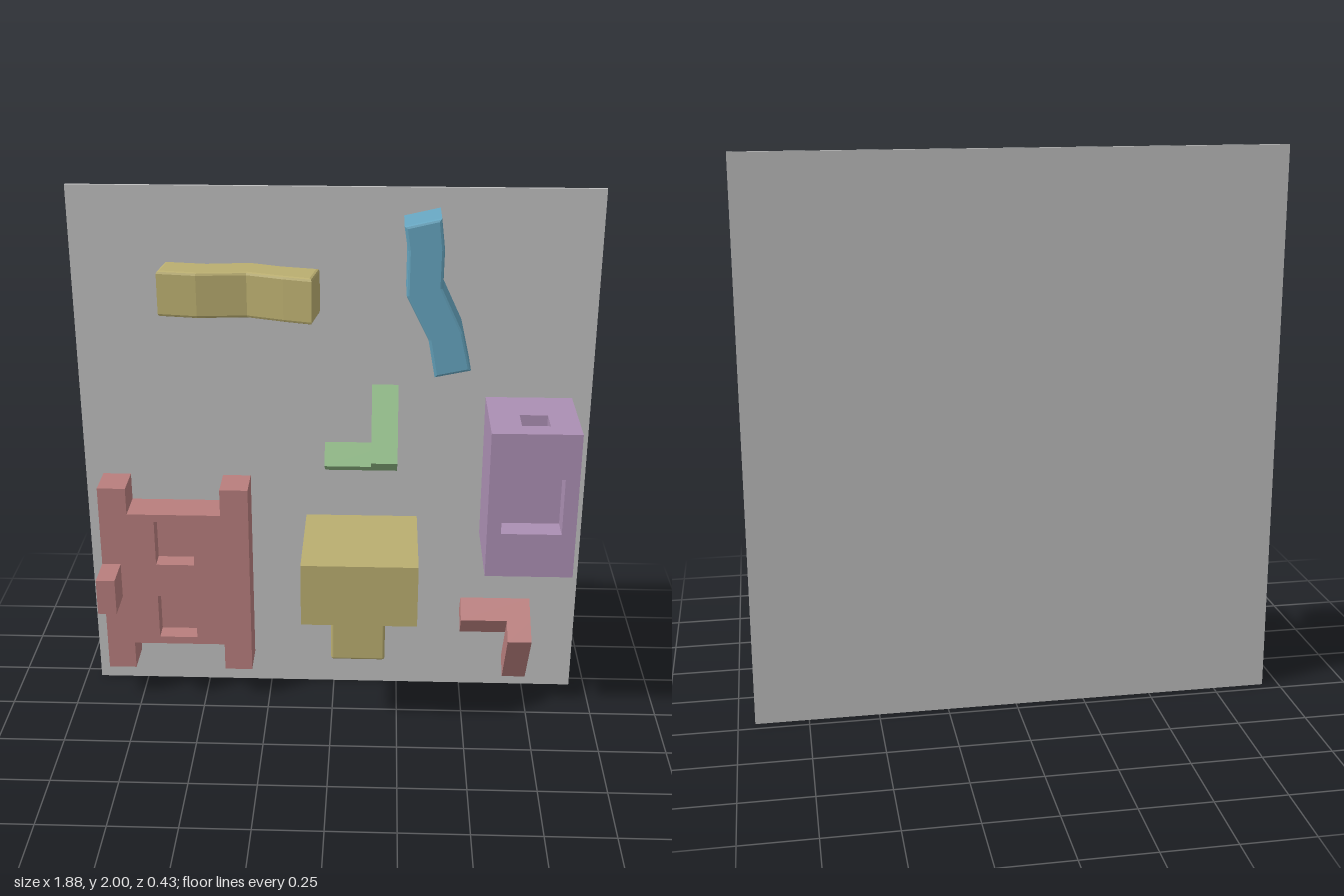
import * as THREE from 'three';
import { RoundedBoxGeometry } from 'three/addons/geometries/RoundedBoxGeometry.js';

const BACK = -0.203; // front surface of the panel

function material(name, color) {
  const m = new THREE.MeshStandardMaterial({ color });
  m.name = name;
  return m;
}

function mesh(name, geometry, mat) {
  const m = new THREE.Mesh(geometry, mat);
  m.name = name;
  return m;
}

// Box given by its limits on each axis
function block(name, mat, [x0, x1], [y0, y1], [z0, z1], radius = 0) {
  const size = [x1 - x0, y1 - y0, z1 - z0];
  const g = radius ? new RoundedBoxGeometry(...size, 2, radius) : new THREE.BoxGeometry(...size);
  g.translate((x0 + x1) / 2, (y0 + y1) / 2, (z0 + z1) / 2);
  return mesh(name, g, mat);
}

const toPoints = (list) => list.map(([x, y]) => new THREE.Vector2(x, y));
const rect = (x0, x1, y0, y1) => [[x0, y0], [x1, y0], [x1, y1], [x0, y1]];

// Outline with optional holes, extruded along z from z0 to z1
function slab(outline, holes, z0, z1, bevel = 0) {
  const shape = new THREE.Shape(toPoints(outline));
  holes.forEach((h) => shape.holes.push(new THREE.Path(toPoints(h))));
  const g = new THREE.ExtrudeGeometry(shape, {
    depth: z1 - z0 - 2 * bevel,
    bevelEnabled: bevel > 0,
    bevelSize: bevel, bevelThickness: bevel, bevelOffset: -bevel, bevelSegments: 2,
  });
  return g.translate(0, 0, z0 + bevel);
}

// The same, lying flat: outline is (x, -z), extruded upward from y0 to y1
const flatSlab = (outline, holes, y0, y1, bevel) =>
  slab(outline, holes, y0, y1, bevel).rotateX(-Math.PI / 2);

// Notched wall plate with two pockets and a peg
function notchedPlate(mat) {
  const g = new THREE.Group();
  g.name = 'notchedPlate';
  const outline = [
    [-0.875, 0.13], [-0.77, 0.13], [-0.77, 0.24], [-0.42, 0.24], [-0.42, 0.13], [-0.315, 0.13],
    [-0.315, 0.9], [-0.42, 0.9], [-0.42, 0.795], [-0.77, 0.795], [-0.77, 0.9], [-0.875, 0.9],
  ];
  const pockets = [rect(-0.67, -0.525, 0.585, 0.765), rect(-0.67, -0.525, 0.27, 0.45)];
  g.add(mesh('plateBack', slab(outline, [], BACK, -0.135), mat));
  g.add(mesh('plateFront', slab(outline, pockets, -0.135, -0.065), mat));
  g.add(block('peg', mat, [-0.875, -0.805], [0.445, 0.585], [-0.065, 0.07]));
  return g;
}

// Block with square pockets in its front, top and bottom
function pocketBlock(mat) {
  const g = new THREE.Group();
  g.name = 'pocketBlock';
  const x = [0.555, 0.87], zFront = 0.145, depth = 0.09, y0 = 0.675, y1 = 1.23;
  const low = y0 + depth, high = y1 - depth;
  const plan = rect(...x, -zFront, -BACK);
  const planHole = rect(0.665, 0.765, -0.07, 0.03);
  g.add(mesh('blockTop', flatSlab(plan, [planHole], high, y1), mat));
  g.add(mesh('blockBottom', flatSlab(plan, [planHole], y0, low), mat));
  g.add(block('blockCore', mat, x, [low, high], [BACK, zFront - depth]));
  g.add(mesh('blockFront',
    slab(rect(...x, low, high), [rect(0.605, 0.82, 0.845, 1.06)], zFront - depth, zFront), mat));
  return g;
}

// Tilted bracket: a long leg, a heel behind its end and an arm to the side.
// up = 1 points the leg up, up = -1 points it down.
function bracket(name, mat, armX, legX, cornerY, up) {
  const g = new THREE.Group();
  g.name = name;
  const t = 0.09, len = 0.288, reach = 0.19;
  const ys = (a, b) => (up > 0 ? [a, b] : [-b, -a]);
  g.add(block('leg', mat, legX, ys(0, len), [-t, 0]));
  g.add(block('arm', mat, armX, ys(0, t), [-reach, -t]));
  g.position.set(0, cornerY, 0.02);
  g.rotation.x = -up * THREE.MathUtils.degToRad(31.5);
  return g;
}

export function createModel() {
  const grey = material('panel grey', 0xc0c0c0);
  const red = material('dusty red', 0xb87e7d);
  const yellow = material('mustard', 0xbaae70);
  const blue = material('soft blue', 0x66a5bf);
  const green = material('soft green', 0x92bd88);
  const purple = material('soft purple', 0xab8fb3);

  const model = new THREE.Group();
  model.name = 'shapeBoard';

  model.add(block('panel', grey, [-0.94, 0.94], [0, 2], [-0.215, BACK]));
  model.add(notchedPlate(red), pocketBlock(purple));

  // Cap and stem
  const mushroom = new THREE.Group();
  mushroom.name = 'capAndStem';
  mushroom.add(block('cap', yellow, [-0.105, 0.315], [0.5, 0.74], [BACK, 0.215]));
  mushroom.add(block('stem', yellow, [0, 0.2], [0.29, 0.52], [-0.09, 0.11], 0.01));
  model.add(mushroom);

  // Brackets
  model.add(bracket('raisedBracket', green, [-0.03, 0.235], [0.14, 0.235], 1.055, 1));
  model.add(bracket('hangingBracket', red, [0.49, 0.755], [0.665, 0.755], 0.325, -1));

  // Wavy bars
  const yellowBar = [
    [-0.615, 0.075], [-0.475, 0.055], [-0.3, 0.07], [-0.17, 0.025], [-0.07, -0.003],
    [-0.048, 0.13], [-0.18, 0.158], [-0.295, 0.2], [-0.45, 0.182], [-0.6, 0.202],
  ];
  model.add(mesh('wavyBarAcross', flatSlab(yellowBar, [], 1.565, 1.73, 0.01), yellow));

  const blueBar = [
    [0.36, 1.363], [0.487, 1.39], [0.455, 1.53], [0.38, 1.69], [0.382, 1.825], [0.369, 1.933],
    [0.243, 1.904], [0.256, 1.82], [0.255, 1.66], [0.335, 1.5],
  ];
  model.add(mesh('wavyBarUpright', slab(blueBar, [], BACK, -0.035, 0.01), blue));

  return model;
}
